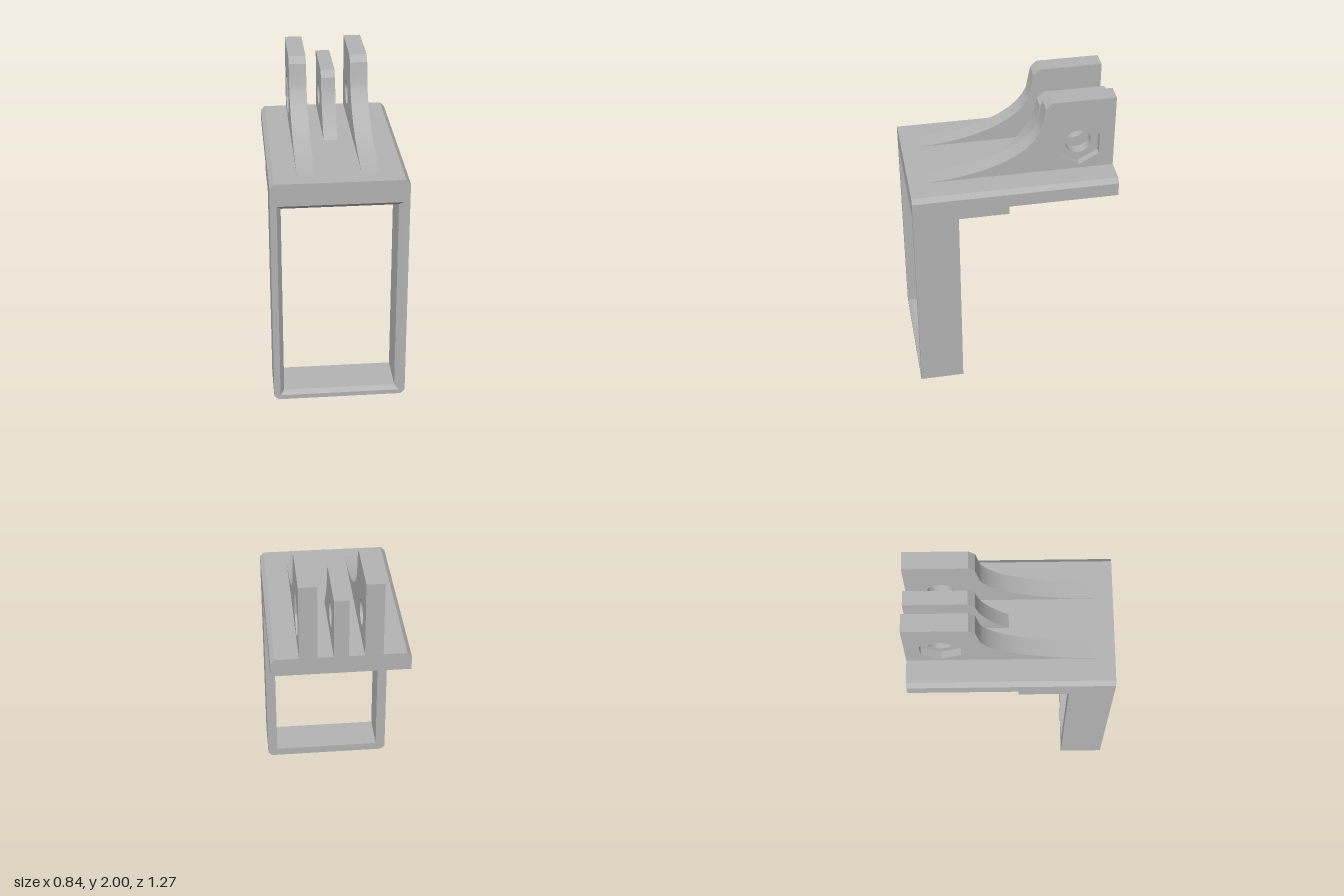
import * as THREE from 'three';
import { toCreasedNormals } from 'three/addons/utils/BufferGeometryUtils.js';

const W = 0.42, TOP = 1.515, C = 0.027, FRONT = 0.635, BACK = -0.635;
const HOLE_Z = -0.42, HOLE_Y = 1.68;

const poly = (pts, Type = THREE.Shape) => new Type(pts.map(([x, y]) => new THREE.Vector2(x, y)));

const ring = (r, n) => poly(Array.from({ length: n }, (_, i) => {
  const a = Math.PI / 2 - (i / n) * Math.PI * 2;
  return [-HOLE_Z + r * Math.cos(a), HOLE_Y + r * Math.sin(a)];
}), THREE.Path);

const extrude = (shape, depth) =>
  new THREE.ExtrudeGeometry(shape, { depth, bevelEnabled: false, curveSegments: 24 });

// Rectangular frame outline with chamfered corners and an opening
function frameShape() {
  const s = poly([[-W + C, 0], [W - C, 0], [W, C], [W, TOP - C], [W - C, TOP],
    [-W + C, TOP], [-W, TOP - C], [-W, C]]);
  s.holes.push(poly([[-0.355, 0.055], [-0.355, 1.345], [0.355, 1.345], [0.355, 0.055]], THREE.Path));
  return s;
}

// Slab cross-section with chamfered upper edges
const slabShape = (bottom) => poly([[-W, bottom], [W, bottom], [W, TOP - C], [W - C, TOP],
  [-W + C, TOP], [-W, TOP - C]]);

// Side profiles, drawn with x = -z
function outerProfile() {
  const s = new THREE.Shape();
  s.moveTo(-BACK, 1.5);
  s.lineTo(-BACK, 2);
  s.lineTo(0.245, 2);
  s.lineTo(0.205, 1.96);
  s.lineTo(0.18, 1.82);
  s.bezierCurveTo(0.1, 1.62, -0.2, 1.53, -0.535, TOP);
  s.lineTo(-0.535, 1.5);
  return s;
}

function middleProfile() {
  const s = new THREE.Shape();
  s.moveTo(-BACK, 1.5);
  s.lineTo(-BACK, 1.9);
  s.lineTo(0.25, 1.9);
  s.lineTo(0.208, 1.86);
  s.quadraticCurveTo(0.18, 1.66, 0.01, TOP);
  s.lineTo(0.01, 1.5);
  return s;
}

export function createModel() {
  const model = new THREE.Group();
  model.name = 'mountBracket';
  const grey = new THREE.MeshStandardMaterial({ color: 0xb4b4b4 });
  grey.name = 'grey plastic';

  const add = (name, geo, parent = model) => {
    const mesh = new THREE.Mesh(geo, grey);
    mesh.name = name;
    parent.add(mesh);
    return mesh;
  };

  // Frame body, then a thin front layer whose opening flares outward
  const flare = 0.025;
  add('frame', extrude(frameShape(), FRONT - flare - 0.355)).position.z = 0.355;
  const rim = extrude(frameShape(), flare);
  const p = rim.attributes.position;
  for (let i = 0; i < p.count; i++) {
    const x = p.getX(i), y = p.getY(i);
    const inOpening = Math.abs(x) < 0.36 && y > 0.05 && y < 1.35;
    if (inOpening && p.getZ(i) > flare / 2) {
      p.setXY(i, x + Math.sign(x) * flare, y + Math.sign(y - 0.7) * flare);
    }
  }
  rim.computeVertexNormals();
  add('frameRim', rim).position.z = FRONT - flare;

  // Thick ledge behind the frame and thinner shelf at the back
  add('ledge', extrude(slabShape(1.345), 0.31)).position.z = 0.045;
  add('shelf', extrude(slabShape(1.4), 0.045 - BACK)).position.z = BACK;

  // Upright lugs: the outer ones have a hexagonal nut pocket on the outside
  const lug = (name, profile, hole, x0, x1, parent) => {
    profile.holes.push(hole);
    const geo = extrude(profile, x1 - x0).rotateY(Math.PI / 2).translate(x0, 0, 0);
    add(name, toCreasedNormals(geo, 0.4), parent);
  };
  lug('middleLug', middleProfile(), ring(0.08, 32), -0.045, 0.045, model);
  for (const side of [1, -1]) {
    const g = new THREE.Group();
    g.name = side > 0 ? 'leftLug' : 'rightLug';
    const span = (a, b) => (side > 0 ? [a, b] : [-b, -a]);
    lug('lugWeb', outerProfile(), ring(0.08, 32), ...span(0.14, 0.205), g);
    lug('nutPocketLayer', outerProfile(), ring(0.142, 6), ...span(0.205, 0.25), g);
    model.add(g);
  }
  return model;
}
